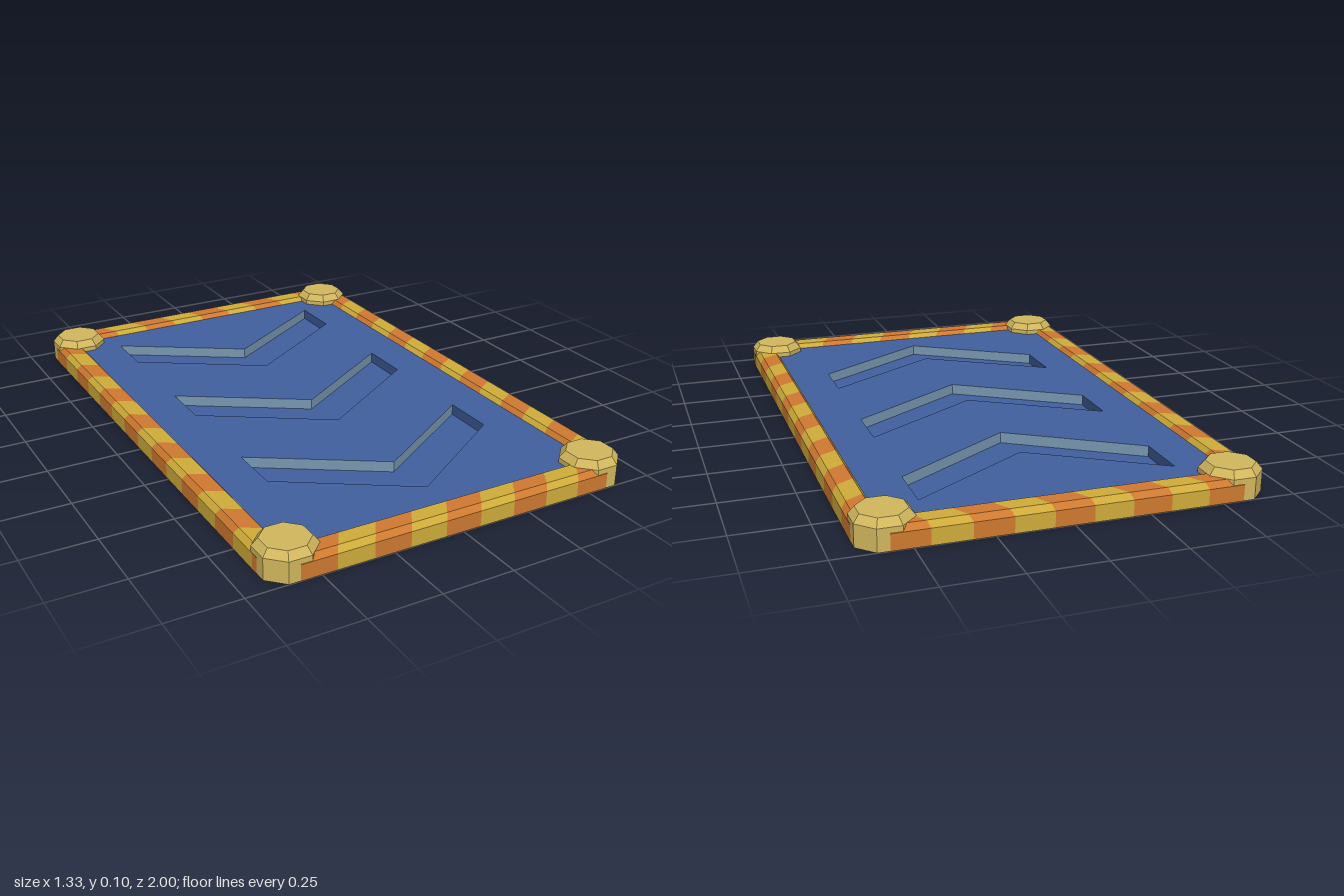
import * as THREE from 'three';

const HX = 0.665, HZ = 1, POST = 0.095;
const PLATE_TOP = 0.058, FLOOR = 0.02;

function mat(name, color, side = THREE.FrontSide) {
  const m = new THREE.MeshStandardMaterial({ color, side });
  m.name = name;
  return m;
}

// Flat-shaded geometry from a list of quads, each with four corners
function quadGeometry(quads, flip = false) {
  const pos = [];
  for (const [a, b, c, d] of quads) {
    const order = flip ? [a, c, b, a, d, c] : [a, b, c, a, c, d];
    order.forEach((p) => pos.push(...p));
  }
  const g = new THREE.BufferGeometry();
  g.setAttribute('position', new THREE.Float32BufferAttribute(pos, 3));
  g.computeVertexNormals();
  return g;
}

// Bevelled rail section: [distance inward from the outer face, height]
const RAIL = [[0, 0], [0, 0.055], [0.016, 0.075], [0.076, 0.075], [0.092, 0.055], [0.092, 0]];
const PERIOD = 0.256, BAND = 0.128, SLANT = 0.6;

// One colour of a striped rail; place(t, u, y) maps rail coordinates to the model
function railStripes(half, firstCentre, place, flip) {
  const quads = [];
  const corner = (t, k) => {
    const [u, y] = RAIL[k % RAIL.length];
    return place(THREE.MathUtils.clamp(t + u * SLANT, -half, half), u, y);
  };
  for (let i = -6; i <= 6; i++) {
    const t0 = firstCentre + i * PERIOD - BAND / 2, t1 = t0 + BAND;
    if (t1 + 0.06 < -half || t0 > half) continue;
    for (let k = 0; k < RAIL.length; k++) {
      quads.push([corner(t0, k), corner(t1, k), corner(t1, k + 1), corner(t0, k + 1)]);
    }
  }
  return quadGeometry(quads, flip);
}

export function createModel() {
  const model = new THREE.Group();
  model.name = 'floorPad';
  const blue = mat('plateBlue', 0x40609f);
  const blueEnds = mat('recessEndBlue', 0x3a5790, THREE.DoubleSide);
  const paleBlue = mat('recessWallBlue', 0x7797b0, THREE.DoubleSide);
  const yellow = mat('stripeYellow', 0xd0ac3a);
  const orange = mat('stripeOrange', 0xd07a30);
  const sand = mat('postSand', 0xd2b75e);

  const add = (parent, name, geometry, material) => {
    const mesh = new THREE.Mesh(geometry, material);
    mesh.name = name;
    parent.add(mesh);
    return mesh;
  };

  // Base slab, which is also the floor of the recesses
  const px = HX - 0.089, pz = HZ - 0.09;
  add(model, 'baseSlab', new THREE.BoxGeometry(px * 2, FLOOR - 0.001, pz * 2), blue)
    .position.y = (FLOOR + 0.001) / 2;

  // Top plate with three chevron openings
  const plate = new THREE.Shape([[-px, -pz], [px, -pz], [px, pz], [-px, pz]]
    .map(([x, y]) => new THREE.Vector2(x, y)));
  const recesses = new THREE.Group();
  recesses.name = 'chevronRecesses';
  model.add(recesses);
  for (const z of [-0.8, -0.238, 0.325]) {
    const outline = [[-0.43, z], [0, z + 0.275], [0.43, z],
      [0.43, z + 0.19], [0, z + 0.47], [-0.43, z + 0.19]];
    plate.holes.push(new THREE.Path(outline.map(([x, zz]) => new THREE.Vector2(x, -zz))));
    const walls = outline.map(([x, zz], i) => {
      const [x2, z2] = outline[(i + 1) % outline.length];
      return [[x, FLOOR, zz], [x2, FLOOR, z2], [x2, PLATE_TOP, z2], [x, PLATE_TOP, zz]];
    });
    const isEnd = (w) => w[0][0] === w[1][0];
    add(recesses, 'recessLongWalls', quadGeometry(walls.filter((w) => !isEnd(w))), paleBlue);
    add(recesses, 'recessEndWalls', quadGeometry(walls.filter(isEnd)), blueEnds);
  }
  const top = new THREE.ShapeGeometry(plate);
  top.rotateX(-Math.PI / 2);
  add(model, 'topPlate', top, blue).position.y = PLATE_TOP;

  // Striped rails: name, half length, orange phase, placement, corner order
  const rails = [
    ['frontRail', HX - POST, 0, (t, u, y) => [t, y, HZ - u], false],
    ['backRail', HX - POST, 0, (t, u, y) => [t, y, u - HZ], true],
    ['leftRail', HZ - POST, -0.083, (t, u, y) => [HX - u, y, t], true],
    ['rightRail', HZ - POST, -0.083, (t, u, y) => [u - HX, y, t], false],
  ];
  for (const [name, half, phase, place, flip] of rails) {
    const rail = new THREE.Group();
    rail.name = name;
    model.add(rail);
    add(rail, 'orangeStripes', railStripes(half, phase, place, flip), orange);
    add(rail, 'yellowStripes', railStripes(half, phase + PERIOD / 2, place, flip), yellow);
  }

  // Octagonal corner posts with a chamfered cap
  const r = (POST - 0.001) / Math.cos(Math.PI / 8);
  const profile = [[0, 0], [r, 0], [r, 0.075], [r - 0.021, 0.1], [0, 0.1]]
    .map(([x, y]) => new THREE.Vector2(x, y));
  const post = new THREE.LatheGeometry(profile, 8, Math.PI / 8).toNonIndexed();
  post.computeVertexNormals();
  for (const sx of [-1, 1]) {
    for (const sz of [-1, 1]) {
      add(model, 'cornerPost', post, sand).position.set(sx * (HX - POST), 0, sz * (HZ - POST));
    }
  }
  return model;
}
